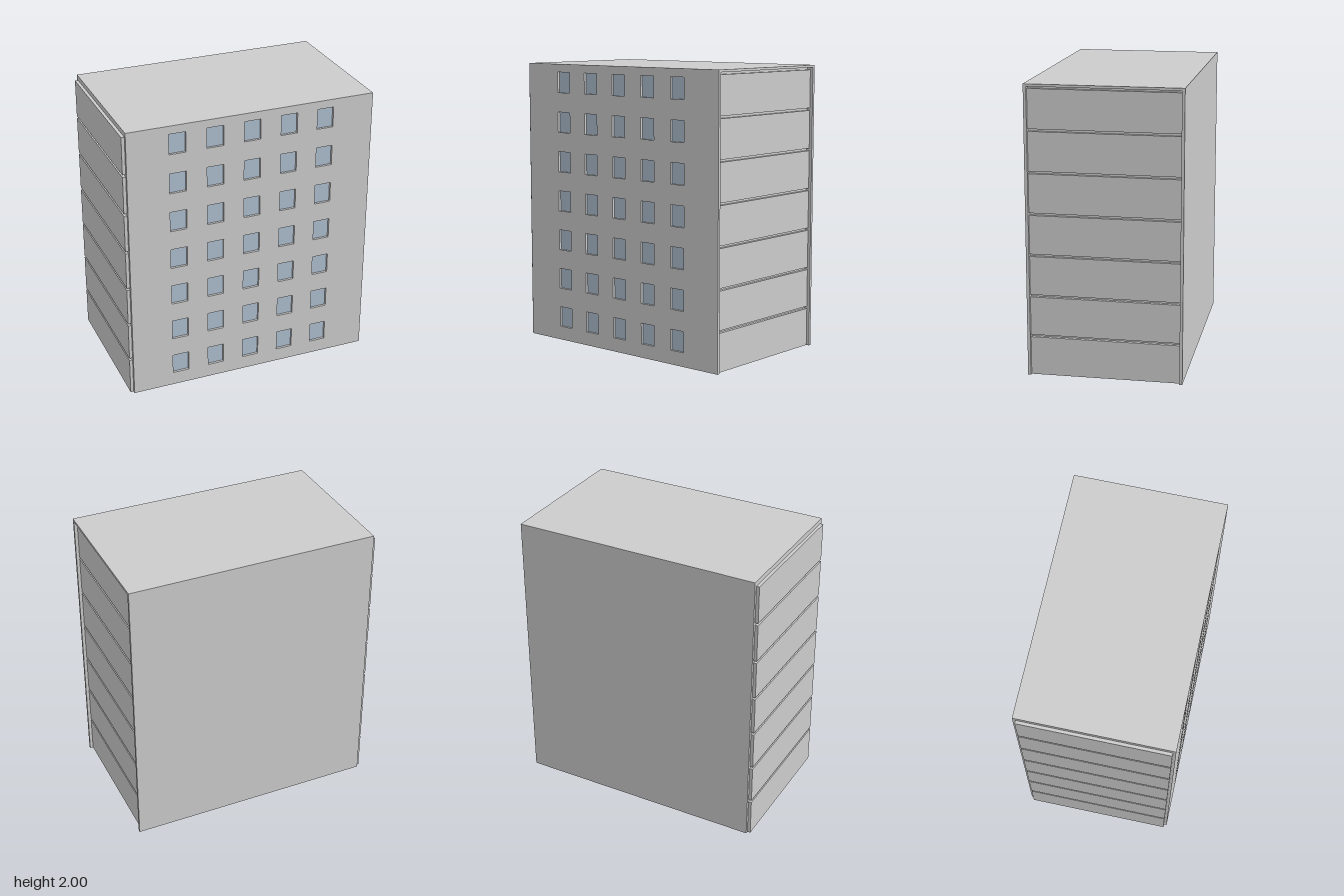
import * as THREE from 'three';

const FLOORS = 7, PITCH = 0.2833, PANEL_H = 0.267;
const LEFT = -0.87, RIGHT = 0.892, HALF_Z = 0.53, WALL = 0.02;

export function createModel() {
  const group = new THREE.Group();
  const concrete = new THREE.MeshStandardMaterial({ color: 0xcccccc });
  concrete.name = 'concrete grey';
  const glass = new THREE.MeshStandardMaterial({ color: 0xaebfd0 });
  glass.name = 'window blue';

  const add = (geometry, material, name) => {
    const mesh = new THREE.Mesh(geometry, material);
    mesh.name = name;
    group.add(mesh);
    return mesh;
  };
  // Box given by its two extreme corners
  const box = (name, x0, x1, y0, y1, z0, z1, material = concrete) =>
    add(new THREE.BoxGeometry(x1 - x0, y1 - y0, z1 - z0), material, name)
      .position.set((x0 + x1) / 2, (y0 + y1) / 2, (z0 + z1) / 2);
  const rectangle = (path, x0, x1, y0, y1) =>
    path.moveTo(x0, y0).lineTo(x1, y0).lineTo(x1, y1).lineTo(x0, y1).closePath();

  // Front wall with window openings, and glass set at its inner face
  const wall = rectangle(new THREE.Shape(), LEFT, RIGHT, 0, 2);
  const inner = HALF_Z - WALL;
  for (let floor = 0; floor < FLOORS; floor++) {
    for (let i = 0; i < 5; i++) {
      const x0 = -0.579 + i * 0.265, x1 = x0 + 0.118;
      const y0 = 0.098 + floor * PITCH, y1 = y0 + 0.145;
      wall.holes.push(rectangle(new THREE.Path(), x0, x1, y0, y1));
      box('windowGlass', x0, x1, y0, y1, inner - 0.001, inner + 0.003, glass);
    }
  }
  add(new THREE.ExtrudeGeometry(wall, { depth: WALL, bevelEnabled: false }), concrete, 'frontWall')
    .position.z = inner;

  // Back wall and roof
  box('backWall', LEFT, RIGHT, 0, 2, -HALF_Z, -inner);
  box('roof', LEFT, RIGHT, 1.983, 2, -inner, inner);

  // Side cores behind the panels
  box('rightSideCore', LEFT, LEFT + WALL, 0, 1.983, -inner, inner);
  box('leftSideCore', 0.83, 0.847, 0, 1.983, -inner, inner);

  // Storey panels: proud of one end, recessed in the other; a slab above each storey
  for (let floor = 0; floor < FLOORS; floor++) {
    const y0 = floor * PITCH, y1 = y0 + PANEL_H;
    box('rightSidePanel', -0.892, LEFT, y0, y1, -inner, inner);
    box('leftSidePanel', 0.847, 0.87, y0, y1, -inner, inner);
    box('floorSlab', LEFT + WALL, 0.83, y1, y1 + 0.016, -inner, inner);
  }
  return group;
}
